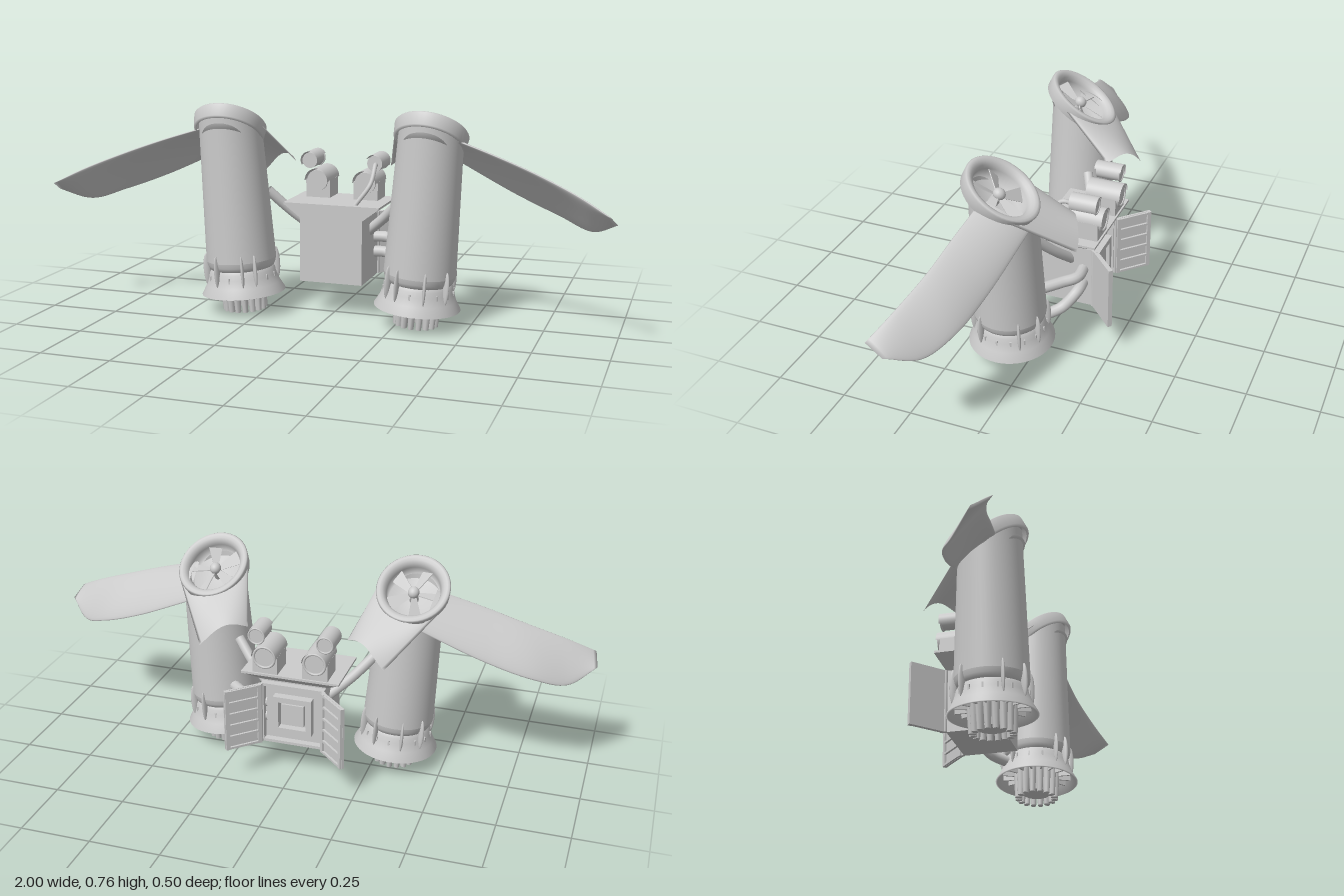
import * as THREE from 'three';
import { ParametricGeometry } from 'three/addons/geometries/ParametricGeometry.js';

const mat = new THREE.MeshStandardMaterial({ color: 0xcccccc, side: THREE.DoubleSide });
const V = (x, y, z) => new THREE.Vector3(x, y, z);

function add(parent, name, geo, x = 0, y = 0, z = 0) {
  const m = new THREE.Mesh(geo, mat);
  m.name = name;
  m.position.set(x, y, z);
  parent.add(m);
  return m;
}
const box = (w, h, d) => new THREE.BoxGeometry(w, h, d);
const cyl = (r1, r2, h, n = 24) => new THREE.CylinderGeometry(r1, r2, h, n);
const lathe = (pts, n = 48) => new THREE.LatheGeometry(pts.map(p => new THREE.Vector2(...p)), n);
const curve = pts => new THREE.CatmullRomCurve3(pts.map(p => V(...p)));
const pipe = (pts, r) => new THREE.TubeGeometry(curve(pts), 24, r, 12);

function createEngine() {
  const g = new THREE.Group();
  g.name = 'engine';
  g.position.set(0.318, 0, 0.072);
  g.rotation.z = -0.07;

  // Tube whose top is cut by a slanted plane
  const tube = cyl(0.111, 0.125, 1, 48);
  const bare = new THREE.CylinderGeometry(0.111, 0.125, 1, 48, 1, true);
  tube.dispose();
  const p = bare.attributes.position;
  for (let i = 0; i < p.count; i++) p.setY(i, p.getY(i) > 0 ? 0.645 + 0.64 * p.getZ(i) : 0.19);
  add(g, 'engineTube', bare);
  add(g, 'tubeBottom', lathe([[0, 0.155], [0.108, 0.155], [0.116, 0.162], [0.122, 0.174], [0.125, 0.19]]));

  // Flared skirt with inner vanes
  add(g, 'flare', lathe([[0.112, 0.158], [0.118, 0.148], [0.122, 0.13], [0.132, 0.1], [0.15, 0.068],
    [0.144, 0.066], [0.125, 0.1], [0.108, 0.14], [0, 0.145]]));
  for (let i = 0; i < 16; i++) {
    const a = i / 16 * Math.PI * 2;
    const vane = add(g, 'flareVane', box(0.006, 0.055, 0.05), Math.sin(a) * 0.1, 0.112, Math.cos(a) * 0.1);
    vane.rotation.y = a;
  }

  // Exhaust core with a crown of petals
  add(g, 'exhaustCore', cyl(0.06, 0.05, 0.12), 0, 0.083, 0);
  for (let i = 0; i < 16; i++) {
    const a = i / 16 * Math.PI * 2;
    const petal = add(g, 'exhaustPetal', cyl(0.016, 0.01, 0.13, 8), Math.sin(a) * 0.066, 0.068, Math.cos(a) * 0.066);
    petal.rotation.y = a;
    petal.scale.z = 1.3;
  }

  // Slim leaf fins bridging tube and flare
  for (const deg of [22, 60, 126, 160, 205, 240, 316, 337]) {
    const a = THREE.MathUtils.degToRad(deg);
    const fin = add(g, 'fin', new THREE.SphereGeometry(1, 10, 12), Math.sin(a) * 0.126, 0.16, Math.cos(a) * 0.126);
    fin.scale.set(0.006, 0.058, 0.013);
    fin.rotation.y = a;
  }

  // Tilted intake ring holding the fan
  const intake = new THREE.Group();
  intake.name = 'intake';
  intake.position.set(0, 0.682, -0.004);
  intake.rotation.x = -0.59;
  intake.scale.z = 1.1;
  g.add(intake);
  add(intake, 'intakeRing', lathe([[0.112, -0.05], [0.122, -0.046], [0.127, -0.004], [0.123, 0.001], [0.115, 0.003],
    [0.105, -0.001], [0.097, -0.01], [0.092, -0.025], [0.09, -0.075], [0, -0.075]]));
  add(intake, 'fanHub', new THREE.SphereGeometry(0.02, 16, 12), 0, -0.03, 0);
  add(intake, 'fanShaft', cyl(0.016, 0.016, 0.045), 0, -0.053, 0);
  for (let i = 0; i < 5; i++) {
    const arm = new THREE.Group();
    arm.name = 'fanArm';
    arm.rotation.y = i / 5 * Math.PI * 2;
    intake.add(arm);
    const s = new THREE.Shape();
    s.moveTo(0, -0.008);
    s.lineTo(0.08, -0.024);
    s.lineTo(0.08, 0.024);
    s.lineTo(0, 0.008);
    const blade = add(arm, 'fanBlade', new THREE.ExtrudeGeometry(s, { depth: 0.003, bevelEnabled: false }), 0.01, -0.04, 0);
    blade.rotation.x = -Math.PI / 2 + 0.5;
  }
  return g;
}

// Thin cambered wing lofted between a leading and a trailing edge
function wingGeometry() {
  const lead = curve([[0.44, 0.662, 0.115], [0.6, 0.612, 0.138], [0.74, 0.562, 0.16], [0.88, 0.505, 0.2], [0.985, 0.452, 0.243]]);
  const trail = curve([[0.42, 0.57, -0.04], [0.64, 0.468, 0], [0.8, 0.408, 0.04], [0.91, 0.377, 0.1], [0.998, 0.42, 0.18]]);
  const up = V(0.3, 0.8, -0.45).normalize();
  return new ParametricGeometry((u, v, out) => {
    const a = u * Math.PI * 2, c = 0.5 - 0.5 * Math.cos(a);
    const thick = 0.011 * Math.sin(a) * Math.sqrt(1 - v ** 8);
    const camber = 0.05 * c * (1 - c) * (1 - v * v);
    out.copy(lead.getPoint(v)).lerp(trail.getPoint(v), c).addScaledVector(up, thick + camber);
  }, 28, 32);
}

// Arched tongue running back and inward from the intake ring
function tongueGeometry() {
  return new ParametricGeometry((u, s, out) => {
    const t = u * 2 - 1, lerp = THREE.MathUtils.lerp;
    const r = lerp(0.112 * Math.sqrt(1 - t * t), 0.237 - 0.012 * t ** 4, s);
    const w = t * lerp(0.122, 0.085, s);
    const x = 0.362 - 0.48 * r + 0.88 * w, z = 0.07 - 0.88 * r - 0.48 * w;
    out.set(x, 0.634 + 0.672 * z - lerp(0.02, 0.05, s) * t * t, z);
  }, 24, 12);
}

// Hooded lamp: barrel along z under an arched cover
function createLamp(r, len) {
  const g = new THREE.Group();
  g.name = 'lamp';
  add(g, 'lampBarrel', cyl(r, r, len).rotateX(Math.PI / 2));
  add(g, 'lampRim', new THREE.TorusGeometry(r, r * 0.12, 8, 24), 0, 0, -len / 2);
  add(g, 'lampHood', new THREE.CylinderGeometry(r * 1.18, r * 1.18, len * 1.15, 24, 1, true, Math.PI / 2, Math.PI)
    .rotateX(Math.PI / 2));
  return g;
}

function createSide() {
  const g = new THREE.Group();
  g.add(createEngine());
  add(g, 'wing', wingGeometry());
  add(g, 'intakeTongue', tongueGeometry());
  add(g, 'strut', pipe([[0.25, 0.43, 0.01], [0.18, 0.355, -0.03], [0.1, 0.285, -0.065]], 0.018));

  // Lamps on the tray
  add(g, 'lampBase', box(0.09, 0.065, 0.095), 0.09, 0.43, -0.122);
  const low = createLamp(0.038, 0.11);
  low.position.set(0.09, 0.46, -0.12);
  const high = createLamp(0.028, 0.085);
  high.position.set(0.122, 0.53, -0.12);
  high.rotation.z = -0.5;
  g.add(low, high);

  // Open cabinet door with slats
  const door = new THREE.Group();
  door.name = 'door';
  door.position.set(0.115, 0.23, -0.15);
  door.rotation.y = Math.atan2(0.095, 0.1);
  g.add(door);
  add(door, 'doorPanel', box(0.138, 0.23, 0.008), 0.069, 0, 0);
  for (const x of [0.008, 0.13]) add(door, 'doorStile', box(0.014, 0.23, 0.01), x, 0, -0.007);
  for (let i = 0; i < 6; i++) add(door, 'doorSlat', box(0.12, 0.008, 0.01), 0.069, -0.11 + i * 0.044, -0.007);
  add(g, 'hinge', cyl(0.007, 0.007, 0.23, 10), 0.115, 0.23, -0.149);
  return g;
}

function createPack() {
  const g = new THREE.Group();
  g.name = 'pack';
  add(g, 'packBody', box(0.23, 0.25, 0.17), 0, 0.24, -0.035);
  // Cabinet walls, open at the back
  for (const s of [-1, 1]) {
    add(g, 'cabinetWall', box(0.01, 0.23, 0.03), s * 0.11, 0.23, -0.13);
    add(g, 'cabinetRail', box(0.23, 0.01, 0.03), 0, 0.23 + s * 0.11, -0.13);
  }
  // Framed panel inside the cabinet
  const frame = new THREE.Shape();
  frame.moveTo(-0.07, -0.07).lineTo(0.07, -0.07).lineTo(0.07, 0.07).lineTo(-0.07, 0.07);
  const hole = new THREE.Path();
  hole.moveTo(-0.05, -0.05).lineTo(-0.05, 0.05).lineTo(0.05, 0.05).lineTo(0.05, -0.05);
  frame.holes.push(hole);
  add(g, 'panelFrame', new THREE.ExtrudeGeometry(frame, { depth: 0.03, bevelEnabled: false }), 0, 0.23, -0.15);
  add(g, 'panel', box(0.08, 0.08, 0.02), 0, 0.23, -0.13);

  // Tray flaring out to the sides and back, flush at the front
  const tray = box(1, 0.045, 1);
  const p = tray.attributes.position;
  for (let i = 0; i < p.count; i++) {
    const top = p.getY(i) > 0;
    p.setX(i, Math.sign(p.getX(i)) * (top ? 0.175 : 0.115));
    p.setZ(i, p.getZ(i) > 0 ? 0.05 : top ? -0.175 : -0.115);
  }
  tray.computeVertexNormals();
  add(g, 'tray', tray, 0, 0.368, 0);
  add(g, 'trayLip', box(0.352, 0.008, 0.226), 0, 0.393, -0.0625);

  // Hoses on the left
  add(g, 'upperHose', pipe([[0.26, 0.25, -0.02], [0.21, 0.255, -0.07], [0.17, 0.26, -0.11], [0.1, 0.26, -0.11]], 0.02));
  add(g, 'lowerHose', pipe([[0.25, 0.13, -0.02], [0.21, 0.15, -0.07], [0.17, 0.2, -0.11], [0.1, 0.205, -0.11]], 0.02));
  add(g, 'lampHose', pipe([[0.122, 0.52, -0.09], [0.135, 0.53, -0.04], [0.13, 0.47, 0], [0.08, 0.395, 0.02]], 0.008));
  return g;
}

export function createModel() {
  const model = new THREE.Group();
  model.name = 'jetPack';
  const left = createSide(), right = createSide();
  left.name = 'leftSide';
  right.name = 'rightSide';
  right.scale.x = -1;
  model.add(left, right, createPack());
  return model;
}
